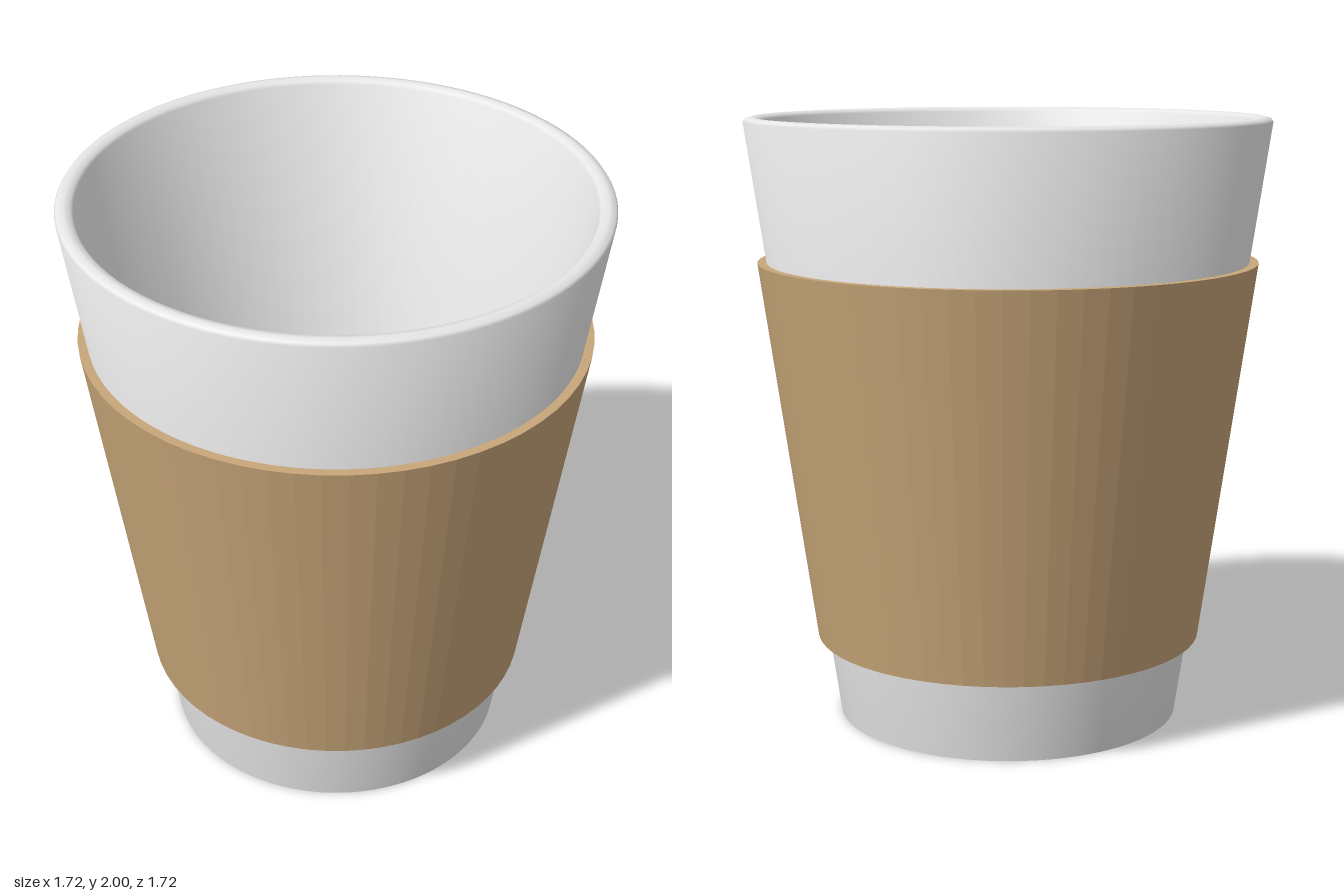
import * as THREE from 'three';
import { toCreasedNormals } from 'three/addons/utils/BufferGeometryUtils.js';

const white = new THREE.MeshStandardMaterial({ color: 0xf0f0f0 });
white.name = 'white cup';
const brown = new THREE.MeshStandardMaterial({ color: 0xc8a679 });
brown.name = 'brown cardboard';
brown.flatShading = true;

// Revolve a list of [radius, height] points around the y axis
const lathe = (points, segments) =>
  new THREE.LatheGeometry(points.map(([r, y]) => new THREE.Vector2(r, y)), segments);

const addPart = (group, name, geometry, material) => {
  const mesh = new THREE.Mesh(geometry, material);
  mesh.name = name;
  group.add(mesh);
};

export function createModel() {
  const model = new THREE.Group();
  model.name = 'cup with sleeve';

  // Tapered hollow cup: base, outer wall, softly rounded rim, inner wall, floor
  const cup = lathe([
    [0, 0], [0.57, 0], [0.858, 1.985], [0.852, 1.994], [0.83, 2],
    [0.808, 1.994], [0.80, 1.985], [0.52, 0.06], [0, 0.06],
  ], 96);
  addPart(model, 'cup', toCreasedNormals(cup, Math.PI / 3), white);

  // Faceted cardboard sleeve, its inner face just inside the cup wall
  const sleeve = lathe([
    [0.605, 0.27], [0.645, 0.27], [0.822, 1.53], [0.787, 1.53], [0.605, 0.27],
  ], 64);
  addPart(model, 'sleeve', sleeve, brown);

  return model;
}
